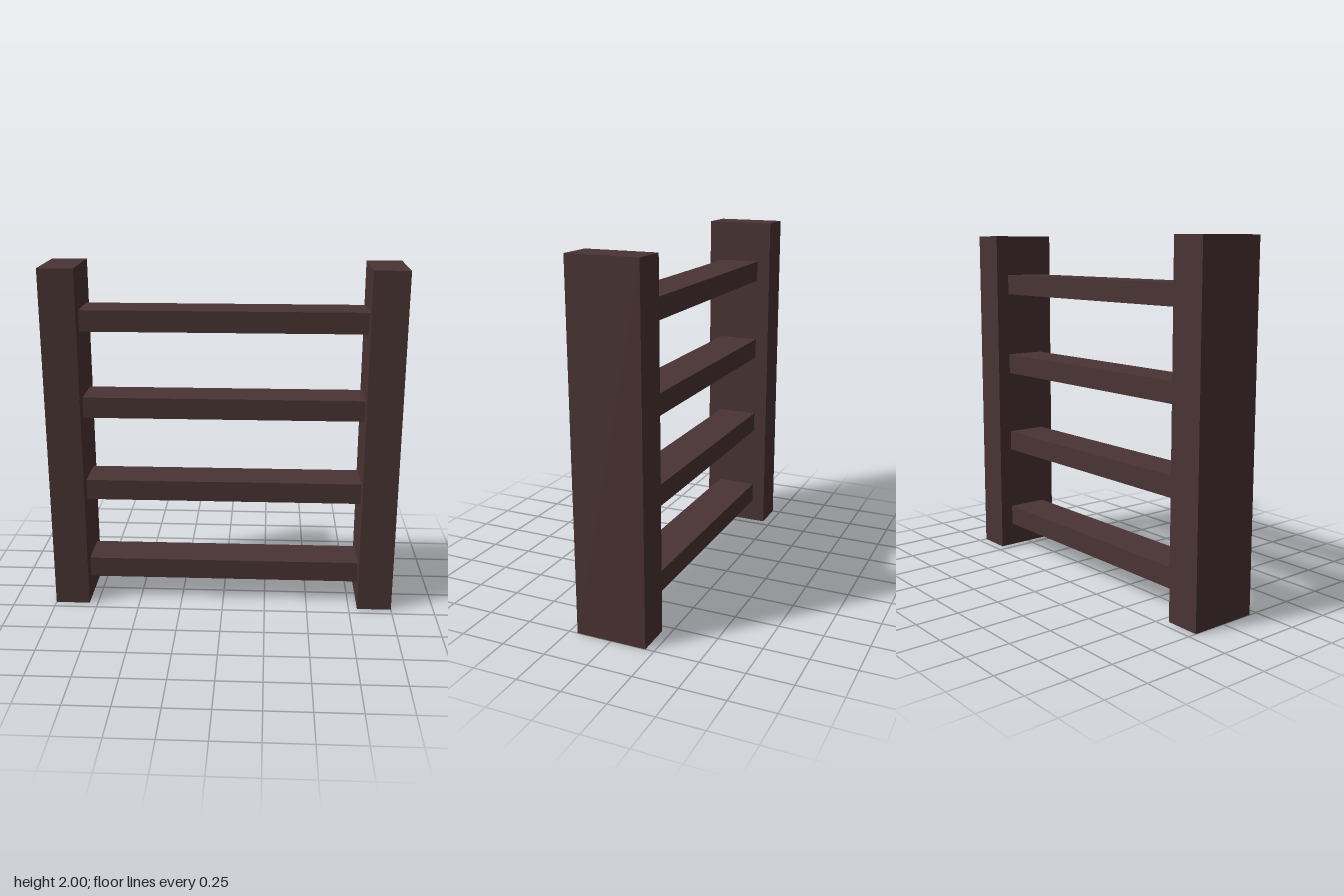
import * as THREE from 'three';

export function createModel() {
  const group = new THREE.Group();
  group.name = 'ladder';
  const wood = new THREE.MeshStandardMaterial({ color: 0x4a3434 });
  wood.name = 'dark brown wood';

  const addBox = (name, w, h, d, x, y) => {
    const mesh = new THREE.Mesh(new THREE.BoxGeometry(w, h, d), wood);
    mesh.name = name;
    mesh.position.set(x, y, 0);
    group.add(mesh);
  };

  // Upright side rails
  addBox('leftRail', 0.2, 2, 0.4, 0.9, 1);
  addBox('rightRail', 0.2, 2, 0.4, -0.9, 1);

  // Four evenly spaced rungs between the rails
  for (let i = 0; i < 4; i++) {
    addBox(`rung${i + 1}`, 1.6, 0.12, 0.24, 0, 0.2 + i * 0.5);
  }
  return group;
}
